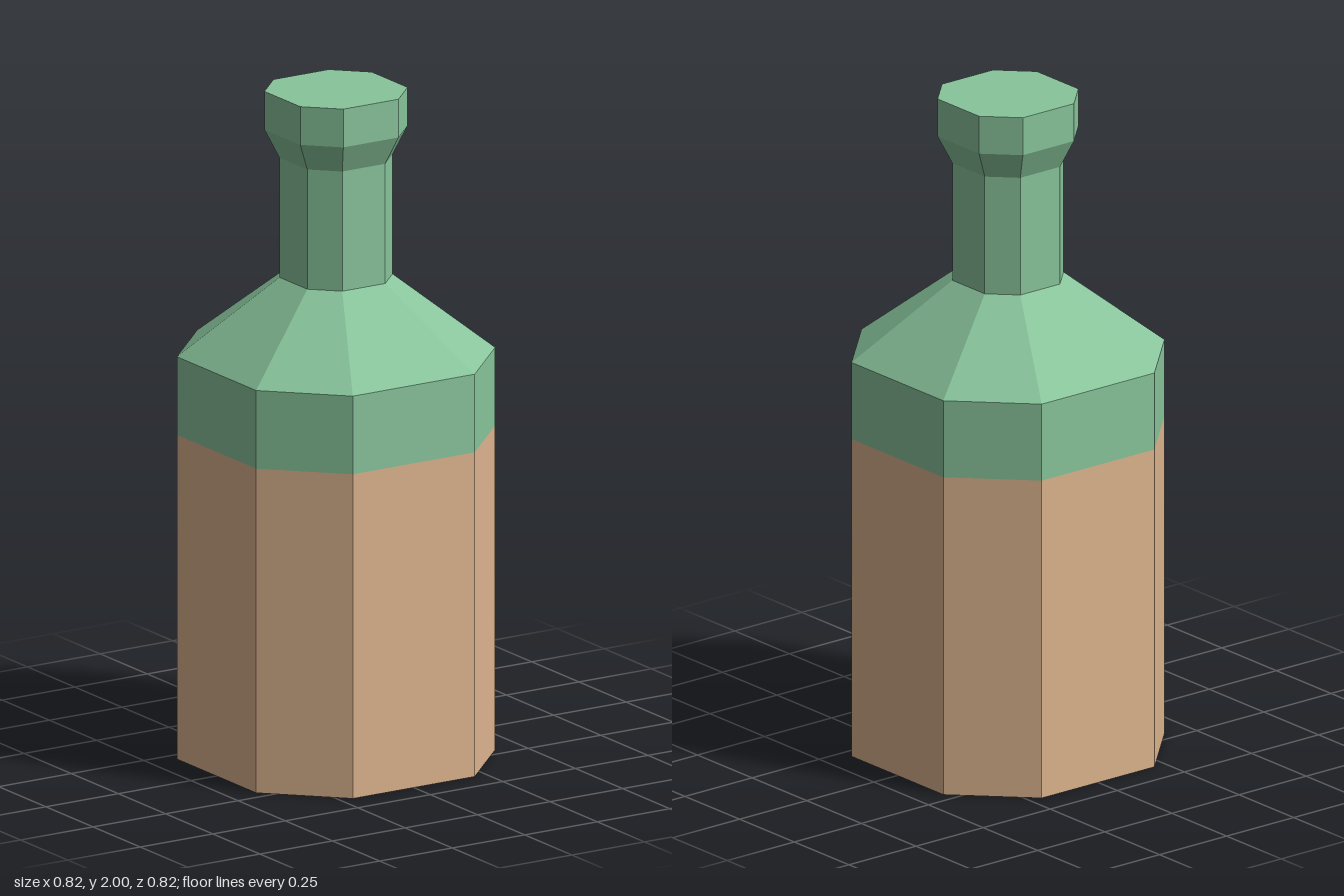
import * as THREE from 'three';

// Chamfered-square outline: half width w, half length c of each flat side
const outline = (w, c) => [[c, w], [w, c], [w, -c], [c, -w], [-c, -w], [-w, -c], [-w, c], [-c, w]];

// Faceted loft through rings [w, c, y] listed bottom to top, with optional end caps
function loft(rings, capBottom, capTop) {
  const loops = rings.map(([w, c, y]) => outline(w, c).map(([x, z]) => new THREE.Vector3(x, y, z)));
  const pos = [];
  const tri = (...pts) => pts.forEach((p) => pos.push(p.x, p.y, p.z));
  for (let r = 0; r < loops.length - 1; r++) {
    const lo = loops[r], hi = loops[r + 1];
    for (let i = 0; i < 8; i++) {
      const j = (i + 1) % 8;
      tri(lo[i], lo[j], hi[j]);
      tri(lo[i], hi[j], hi[i]);
    }
  }
  const first = loops[0], last = loops[loops.length - 1];
  for (let i = 1; i < 7; i++) {
    if (capBottom) tri(first[0], first[i + 1], first[i]);
    if (capTop) tri(last[0], last[i], last[i + 1]);
  }
  const geo = new THREE.BufferGeometry();
  geo.setAttribute('position', new THREE.Float32BufferAttribute(pos, 3));
  geo.computeVertexNormals();
  return geo;
}

export function createModel() {
  const group = new THREE.Group();
  group.name = 'bottle';
  const glass = new THREE.MeshStandardMaterial({ color: 0x88c49b, flatShading: true });
  const label = new THREE.MeshStandardMaterial({ color: 0xdcb48e, flatShading: true });

  const add = (name, material, rings, capBottom = false, capTop = false) => {
    const mesh = new THREE.Mesh(loft(rings, capBottom, capTop), material);
    mesh.name = name;
    group.add(mesh);
  };

  const body = [0.412, 0.21], neck = [0.147, 0.074], lip = [0.185, 0.095];

  // Tan lower body with its base
  add('lowerBody', label, [[...body, 0], [...body, 0.975]], true);
  // Green band and sloping shoulder
  add('shoulder', glass, [[...body, 0.975], [...body, 1.21], [...neck, 1.44]]);
  // Straight neck
  add('neck', glass, [[...neck, 1.44], [...neck, 1.8]]);
  // Flared, closed mouth
  add('mouth', glass, [[...neck, 1.8], [...lip, 1.885], [...lip, 2]], false, true);

  return group;
}
